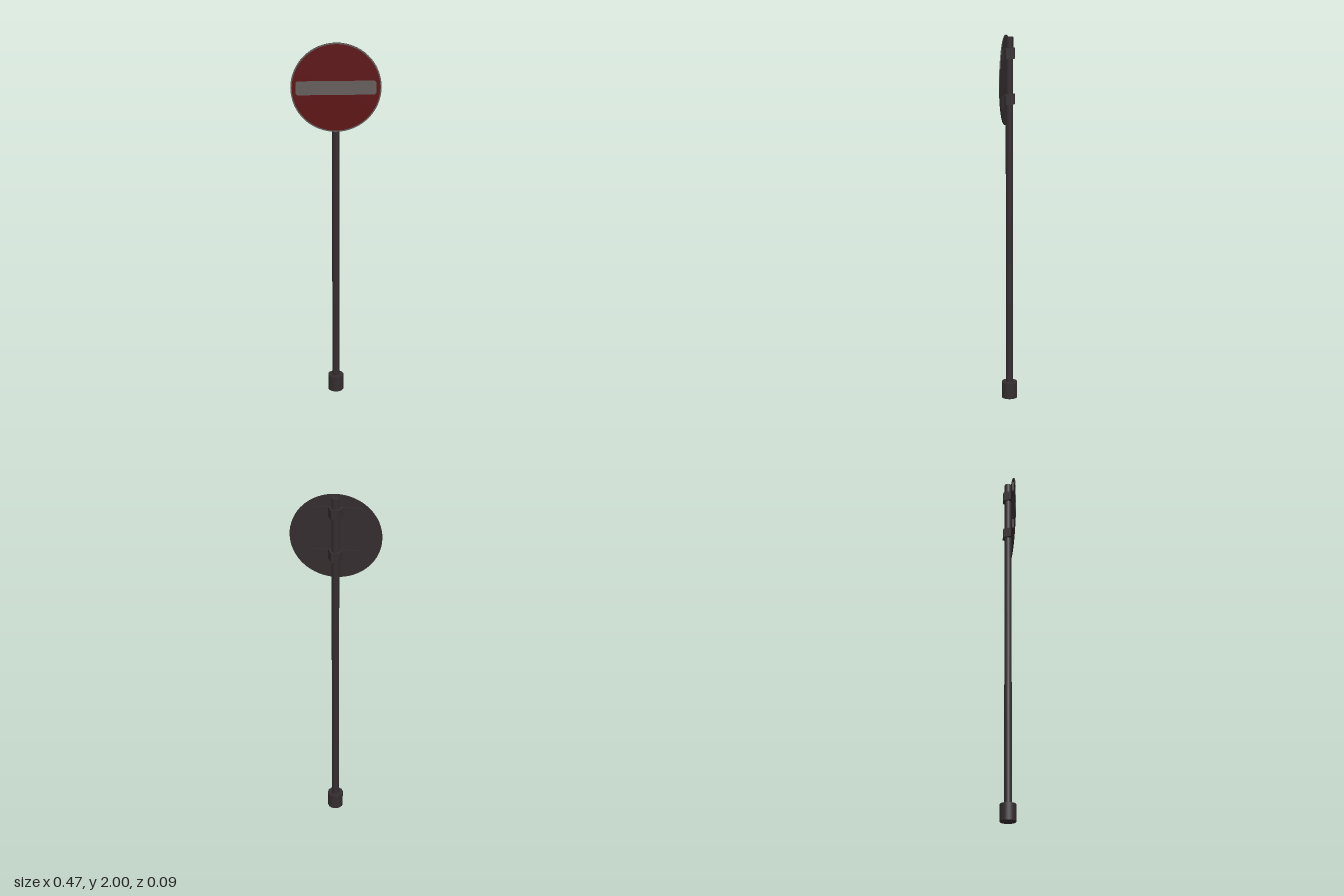
import * as THREE from 'three';

export function createModel() {
  const model = new THREE.Group();
  model.name = 'roadSign';

  const mat = (name, color) => {
    const m = new THREE.MeshStandardMaterial({ color });
    m.name = name;
    return m;
  };
  const darkMetal = mat('darkMetal', 0x342d2f);
  const signRed = mat('signRed', 0x5c0d0f);
  const signGrey = mat('signGrey', 0x645d5a);

  const add = (name, geometry, material, x = 0, y = 0, z = 0, parent = model) => {
    const mesh = new THREE.Mesh(geometry, material);
    mesh.name = name;
    mesh.position.set(x, y, z);
    parent.add(mesh);
    return mesh;
  };

  // Post and ground socket
  add('post', new THREE.CylinderGeometry(0.02, 0.02, 1.97, 16), darkMetal, 0, 1.005, 0);
  add('baseSocket', new THREE.CylinderGeometry(0.043, 0.043, 0.09, 32), darkMetal, 0, 0.045, 0);

  // Round sign plate facing +z
  const R = 0.235, signY = 2 - R;
  const plate = new THREE.CylinderGeometry(R, R, 0.005, 64).rotateX(Math.PI / 2);
  add('signPlate', plate, darkMetal, 0, signY, 0.0205);

  // Painted face: grey border, red field, grey bar with chamfered ends
  add('signBorder', new THREE.RingGeometry(0.227, R, 64), signGrey, 0, signY, 0.0234);
  add('signField', new THREE.CircleGeometry(0.228, 64), signRed, 0, signY, 0.0236);
  const w = 0.208, h = 0.037, c = 0.008;
  const bar = new THREE.Shape([
    [-w + c, -h], [w - c, -h], [w, -h + c], [w, h - c],
    [w - c, h], [-w + c, h], [-w, h - c], [-w, -h + c],
  ].map(([x, y]) => new THREE.Vector2(x, y)));
  add('signBar', new THREE.ShapeGeometry(bar), signGrey, 0, signY, 0.0242);

  // Two clamps holding the plate to the post
  const clampShape = new THREE.Shape([
    [-0.04, -0.016], [0.04, -0.016], [0.019, 0.028], [-0.019, 0.028],
  ].map(([x, y]) => new THREE.Vector2(x, y)));
  for (const [label, y] of [['upper', 1.905], ['lower', 1.665]]) {
    const bracket = new THREE.Group();
    bracket.name = label + 'Bracket';
    bracket.position.y = y;
    model.add(bracket);
    const clamp = new THREE.ExtrudeGeometry(clampShape, { depth: 0.054, bevelEnabled: false });
    clamp.rotateX(-Math.PI / 2).translate(0, -0.027, 0);
    add('clamp', clamp, darkMetal, 0, 0, 0, bracket);
    add('mountingStrip', new THREE.BoxGeometry(0.267, 0.054, 0.006), darkMetal, 0.003, 0, 0.0155, bracket);
  }

  return model;
}
